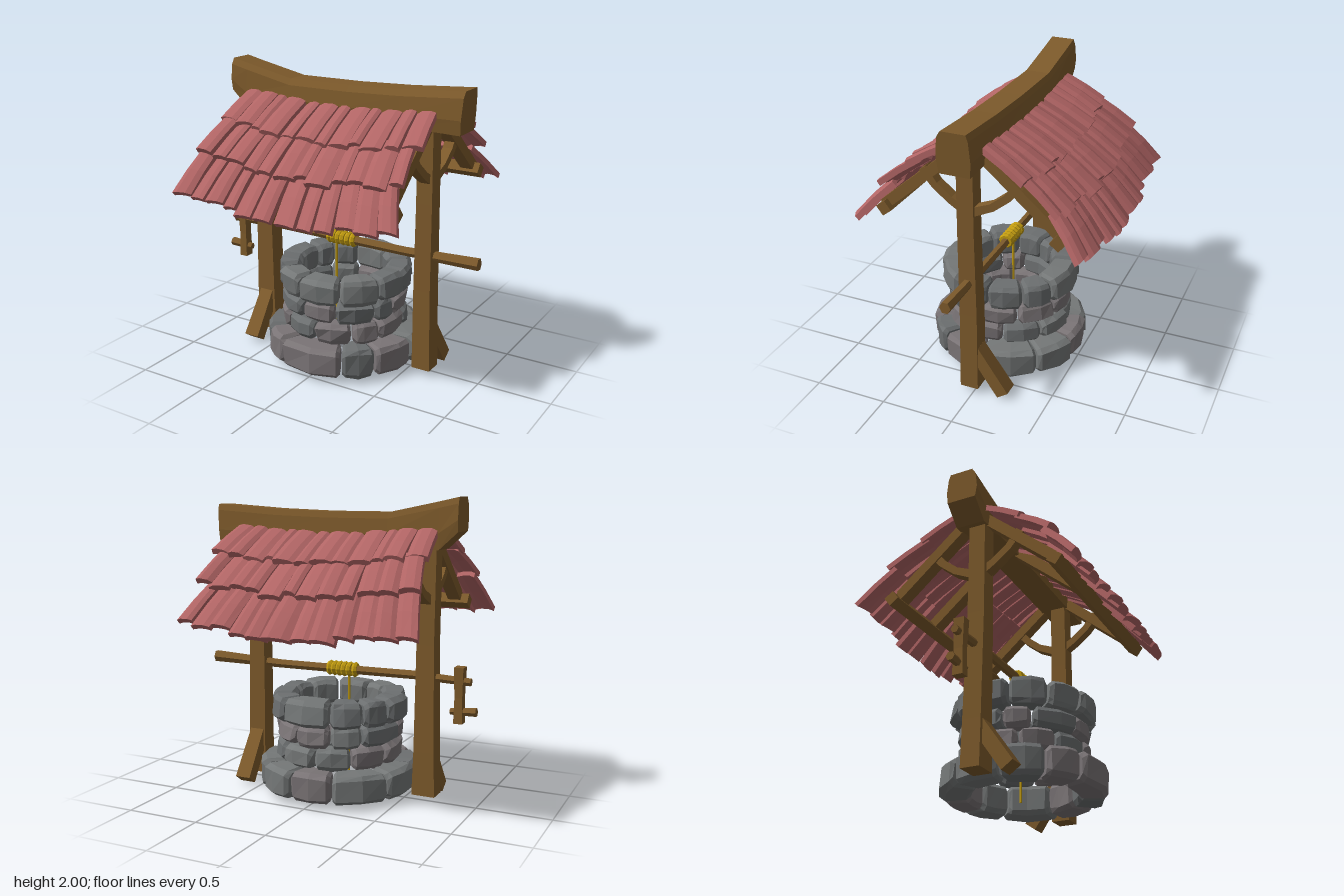
import * as THREE from 'three';

const V = (x, y, z) => new THREE.Vector3(x, y, z);
const mat = (color) => new THREE.MeshStandardMaterial({ color, flatShading: true });
const WOOD = mat(0x7d5a2b), ROPE = mat(0xc09a10), TILE = mat(0xb06464);
const STONES = [mat(0x747777), mat(0x6c6f70), mat(0x7a7476)];

let seed = 7;
const rnd = () => (seed = (seed * 16807) % 2147483647) / 2147483647;
const jit = (a) => (rnd() * 2 - 1) * a;

// Skin a list of equal-length cross-sections, capped at both ends, facing outward.
function loft(sections) {
  const n = sections[0].length, pts = sections.flat(), idx = [];
  for (let i = 0; i < sections.length - 1; i++)
    for (let j = 0; j < n; j++) {
      const k = (j + 1) % n, a = i * n + j, b = i * n + k;
      idx.push(a, b, b + n, a, b + n, a + n);
    }
  const e = (sections.length - 1) * n;
  for (let j = 1; j < n - 1; j++) idx.push(0, j + 1, j, e, e + j, e + j + 1);
  let volume = 0;
  const o = pts[0], t = V(0, 0, 0);
  for (let i = 0; i < idx.length; i += 3) {
    const [a, b, c] = [0, 1, 2].map((k) => pts[idx[i + k]].clone().sub(o));
    volume += a.dot(t.crossVectors(b, c));
  }
  if (volume < 0) idx.reverse();
  const g = new THREE.BufferGeometry().setFromPoints(pts);
  g.setIndex(idx);
  const flat = g.toNonIndexed();
  flat.computeVertexNormals();
  return flat;
}

// Bar along points [x, y, z, halfWidth, halfHeight]; width follows the side vector.
function bar(points, side, n = 4) {
  const p = points.map((q) => V(q[0], q[1], q[2]));
  return loft(points.map((q, i) => {
    const t = p[Math.min(i + 1, p.length - 1)].clone().sub(p[Math.max(i - 1, 0)]).normalize();
    const up = t.cross(side).normalize(), k = n === 4 ? Math.SQRT2 : 1;
    return Array.from({ length: n }, (_, j) => {
      const a = (j / n) * Math.PI * 2 + (n === 4 ? Math.PI / 4 : 0);
      return p[i].clone().addScaledVector(side, Math.cos(a) * q[3] * k).addScaledVector(up, Math.sin(a) * q[4] * k);
    });
  }));
}

// One chamfered wedge stone of a ring.
function stone(a0, a1, r0, r1, y0, y1) {
  const c = 0.028, gap = 0.008 / r1;
  const bulge = [jit(0.012), jit(0.012), jit(0.012), jit(0.012)];
  const section = (a, s) => {
    const [i, o, b, t] = [r0 + s, r1 - s, y0 + s, y1 - s];
    return [[i + c, b], [o - c, b], [o, b + c], [o, t - c], [o - c, t], [i + c, t], [i, t - c], [i, b + c]]
      .map(([r, y], k) => {
        const rr = r + (k === 2 || k === 3 ? bulge[k] : 0) + jit(0.006);
        return V(Math.sin(a) * rr, y + jit(0.004), Math.cos(a) * rr);
      });
  };
  const w = a1 - a0, e = 0.025 / r1;
  return loft([section(a0 + gap, 0.02), section(a0 + gap + e, 0), section(a0 + w / 2 + jit(0.05), -0.004),
    section(a1 - gap - e, 0), section(a1 - gap, 0.02)]);
}

// Curved roof tile in row r, between fractions f0..f1 of the row; s = +1 front, -1 back.
const ROWS = [
  { a: [0.1, 1.8], b: [0.42, 1.63], top: [-0.74, 0.69], end: [-0.77, 0.73] },
  { a: [0.32, 1.66], b: [0.62, 1.45], top: [-0.74, 0.67], end: [-0.8, 0.73] },
  { a: [0.53, 1.47], b: [0.79, 1.21], top: [-0.79, 0.66], end: [-0.88, 0.78] },
];
function tile({ a, b, top, end }, f0, f1, s, v) {
  const dz = b[0] - a[0], dy = b[1] - a[1], L = Math.hypot(dz, dy);
  const n = [-dy / L, dz / L];
  const lerp = THREE.MathUtils.lerp;
  return loft([0, 0.5, 1].map((k) => {
    const xs = [f0, f1].map((f) => lerp(lerp(...top, f), lerp(...end, f), k) + v.shift * k);
    const x = (xs[0] + xs[1]) / 2, half = (xs[1] - xs[0]) / 2 - 0.001;
    const sag = 0.05 * (1 - Math.min(1, (x / 0.75) ** 2));
    const d = k * (1 + v.long), curve = k === 0.5 ? 0.006 : 0;
    const point = (u, low) => {
      const h = 0.012 + 0.018 * (1 - u * u) + u * v.roll + curve + v.lift - (low ? 0.038 : 0);
      const skew = u * v.skew * k - 0.07 * x * x * k;
      return V(x + u * half, a[1] + dy * d + n[1] * h - sag - skew * 0.3,
        s * (a[0] + dz * d + n[0] * h + skew));
    };
    return [...[-1, -0.45, 0.45, 1].map((u) => point(u, false)), ...[1, 0.45, -0.45, -1].map((u) => point(u, true))];
  }));
}

export function createModel() {
  seed = 7;
  const root = new THREE.Group();
  const group = (name) => {
    const g = new THREE.Group();
    g.name = name;
    root.add(g);
    return g;
  };
  const add = (parent, name, geo, m = WOOD) => {
    const mesh = new THREE.Mesh(geo, m);
    mesh.name = name;
    parent.add(mesh);
    return mesh;
  };
  const X = V(1, 0, 0), Z = V(0, 0, 1);

  // Stone well: four courses
  const well = group('stoneWell');
  well.position.set(-0.01, 0, 0.025);
  const courses = [[0.34, 0.53, 0.04, 0.23, 10, 0.05], [0.3, 0.425, 0.235, 0.375, 10, 0.3],
    [0.3, 0.425, 0.38, 0.515, 10, 0], [0.29, 0.462, 0.525, 0.69, 11, 0.2]];
  for (const [r0, r1, y0, y1, count, turn] of courses) {
    const cuts = Array.from({ length: count }, (_, i) => turn - 0.3 + ((i + jit(0.22)) / count) * Math.PI * 2);
    cuts.push(cuts[0] + Math.PI * 2);
    for (let i = 0; i < count; i++)
      add(well, 'stone', stone(cuts[i], cuts[i + 1], r0, r1 + jit(0.008), y0, y1 + jit(0.006)),
        STONES[Math.floor(rnd() * 3)]);
  }

  // Posts, each with a foot brace, curved head braces and a pair of rafters
  const frame = group('timberFrame');
  add(frame, 'rightPost', bar([[-0.645, 0.04, 0.025, 0.08, 0.063], [-0.645, 0.34, 0.025, 0.07, 0.062],
    [-0.642, 1.05, 0.03, 0.06, 0.058], [-0.65, 1.74, 0.03, 0.058, 0.056]], X));
  add(frame, 'leftPost', bar([[0.617, 0.04, 0.025, 0.065, 0.063], [0.61, 0.6, 0.025, 0.06, 0.06],
    [0.612, 1.2, 0.03, 0.056, 0.056], [0.608, 1.74, 0.03, 0.055, 0.055]], X));
  for (const [x, s] of [[-0.642, 1], [0.615, -1]]) {
    add(frame, 'footBrace', bar([[x, 0.33, 0.02 + s * 0.02, 0.05, 0.045],
      [x, 0.03, 0.02 + s * 0.23, 0.055, 0.045]], X));
    for (const side of [1, -1])
      add(frame, 'headBrace', bar([[x, 1.33, 0.02, 0.035, 0.03], [x, 1.4, side * 0.14, 0.035, 0.025],
        [x, 1.48, side * 0.24, 0.035, 0.025], [x, 1.58, side * 0.32, 0.035, 0.03]], X));
  }
  for (const s of [1, -1]) {
    for (const x of [-0.642, -0.205, 0.613])
      add(frame, 'rafter', bar([[x, 1.735, s * 0.07, 0.045, 0.035], [x, 1.28, s * 0.6, 0.045, 0.035]], X));
    const purlin = add(frame, 'purlin', new THREE.BoxGeometry(1.44, 0.075, 0.075));
    purlin.position.set(-0.02, 1.275, s * 0.58);
    purlin.rotation.x = s * 0.65;
  }

  // Sagging ridge beam: [x, bottom, top]
  const ridge = [[-0.87, 1.785, 2.0], [-0.745, 1.67, 1.972], [-0.4, 1.69, 1.9], [0.05, 1.69, 1.9],
    [0.43, 1.68, 1.912], [0.865, 1.67, 1.94]];
  add(frame, 'ridgeBeam', loft(ridge.map(([x, b, t]) => {
    const m = b + (t - b) * 0.35;
    return [[b, 0.1], [m, 0.112], [t - 0.04, 0.1], [t, 0.075], [t, -0.085], [t - 0.04, -0.098], [m, -0.108], [b, -0.1]]
      .map(([y, z]) => V(x - (x > 0.8 ? (t - y) * 0.06 : 0), y, z));
  })));

  // Roof: three overlapping rows of tiles, mirrored front and back
  const roof = group('tileRoof');
  ROWS.forEach((row) => {
    const N = 12;
    const cuts = Array.from({ length: N + 1 }, (_, i) => (i + (i % N ? jit(0.18) : 0)) / N);
    for (let i = 0; i < N; i++) {
      const v = { shift: jit(0.012), roll: 0.006 + jit(0.012), lift: jit(0.008), skew: jit(0.012), long: jit(0.07) };
      for (const s of [1, -1]) add(roof, 'roofTile', tile(row, cuts[i], cuts[i + 1], s, v), TILE);
    }
  });

  // Windlass: hexagonal axle with crank and handle
  const windlass = group('windlass');
  add(windlass, 'axle', bar([[-0.94, 0.825, 0.025, 0.026, 0.026], [-0.55, 0.84, 0.025, 0.03, 0.03],
    [-0.05, 0.835, 0.025, 0.03, 0.03], [0.45, 0.832, 0.025, 0.03, 0.03], [0.98, 0.845, 0.025, 0.038, 0.042]], Z, 6));
  add(windlass, 'crankArm', bar([[-0.865, 0.55, 0.025, 0.03, 0.035], [-0.865, 0.72, 0.025, 0.026, 0.03],
    [-0.865, 0.92, 0.025, 0.032, 0.037]], X));
  add(windlass, 'crankHandle', bar([[-0.98, 0.632, 0.025, 0.03, 0.03], [-0.805, 0.622, 0.025, 0.023, 0.023]], Z, 6));

  // Rope wound on the axle and hanging into the well
  for (let i = 0; i < 6; i++) {
    const coil = add(windlass, 'ropeCoil', new THREE.TorusGeometry(0.034, 0.019, 6, 10), ROPE);
    coil.position.set(-0.125 + i * 0.037, 0.838, 0.025);
    coil.rotation.set(0, Math.PI / 2 + jit(0.15), 0);
  }
  const rope = add(windlass, 'hangingRope', new THREE.CylinderGeometry(0.008, 0.008, 0.82, 6), ROPE);
  rope.position.set(-0.075, 0.41, 0.032);

  return root;
}
